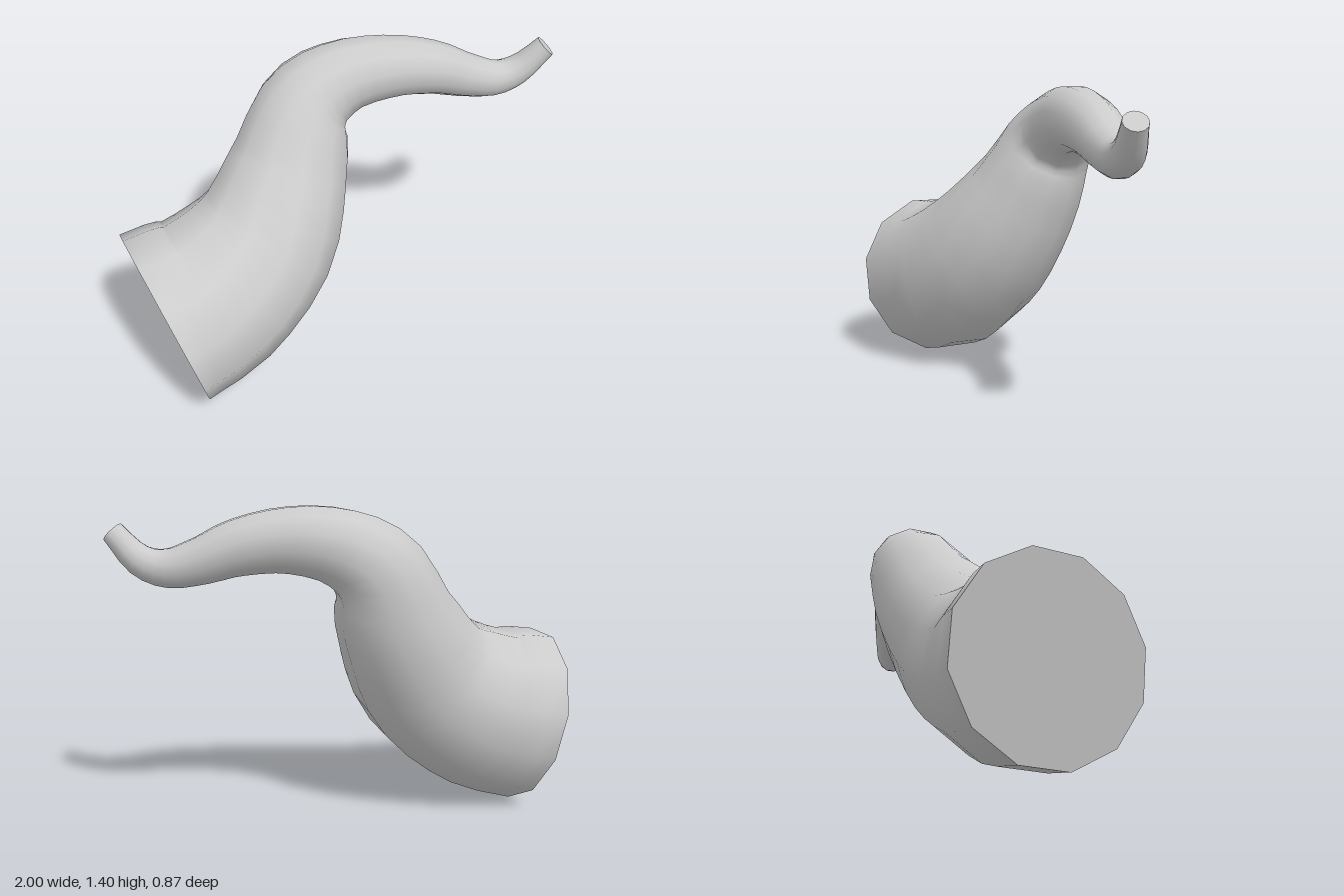
import * as THREE from 'three';

const SIDES = 12;
const RINGS = 33;

// Centre line stations: x, y, z, radius
const STATIONS = [
  [-0.905, 0.392, 0.04, 0.412],
  [-0.66, 0.452, 0.018, 0.385],
  [-0.405, 0.62, -0.045, 0.338],
  [-0.235, 0.875, -0.155, 0.276],
  [-0.122, 1.12, -0.23, 0.213],
  [0.035, 1.232, -0.228, 0.168],
  [0.245, 1.265, -0.187, 0.141],
  [0.45, 1.237, -0.15, 0.121],
  [0.6, 1.183, -0.122, 0.101],
  [0.74, 1.15, -0.09, 0.083],
  [0.855, 1.185, -0.062, 0.067],
  [0.958, 1.298, -0.022, 0.05],
];

function makeGeometry(positions, indices) {
  const geometry = new THREE.BufferGeometry();
  geometry.setAttribute('position', new THREE.Float32BufferAttribute(positions, 3));
  geometry.setIndex(indices);
  geometry.computeVertexNormals();
  return geometry;
}

// Flat disc closing one end of the body
function makeCap(center, ring, flip) {
  const positions = [center, ...ring].flatMap((p) => p.toArray());
  const indices = [];
  for (let j = 0; j < SIDES; j++) {
    const a = 1 + j;
    const b = 1 + ((j + 1) % SIDES);
    indices.push(0, ...(flip ? [b, a] : [a, b]));
  }
  return makeGeometry(positions, indices);
}

export function createModel() {
  const group = new THREE.Group();
  group.name = 'curvedHorn';
  const material = new THREE.MeshStandardMaterial({ color: 0xcccccc });

  const path = new THREE.CatmullRomCurve3(
    STATIONS.map(([x, y, z]) => new THREE.Vector3(x, y, z)), false, 'catmullrom', 0.5);
  const taper = new THREE.SplineCurve(STATIONS.map((s, i) => new THREE.Vector2(i, s[3])));

  // Round cross-sections set square to the path
  const rings = [];
  for (let i = 0; i <= RINGS; i++) {
    const t = i / RINGS;
    const center = path.getPoint(t);
    const tangent = path.getTangent(t);
    const radius = taper.getPoint(t).y;
    const u = new THREE.Vector3(0, 0, 1).projectOnPlane(tangent).normalize();
    const v = new THREE.Vector3().crossVectors(tangent, u);
    const ring = [];
    for (let j = 0; j < SIDES; j++) {
      const a = ((j + 0.5) / SIDES) * Math.PI * 2;
      ring.push(center.clone()
        .addScaledVector(u, radius * Math.cos(a))
        .addScaledVector(v, radius * Math.sin(a)));
    }
    rings.push(ring);
  }

  // Smooth skin between neighbouring cross-sections
  const indices = [];
  for (let i = 0; i < RINGS; i++) {
    for (let j = 0; j < SIDES; j++) {
      const k = (j + 1) % SIDES;
      const a = i * SIDES + j, b = i * SIDES + k;
      indices.push(a, b, a + SIDES, b, b + SIDES, a + SIDES);
    }
  }
  const skin = makeGeometry(rings.flat().flatMap((p) => p.toArray()), indices);

  const add = (name, geometry) => {
    const mesh = new THREE.Mesh(geometry, material);
    mesh.name = name;
    group.add(mesh);
  };
  add('taperedBody', skin);
  add('baseCap', makeCap(path.getPoint(0), rings[0], true));
  add('tipCap', makeCap(path.getPoint(1), rings[RINGS], false));

  return group;
}
